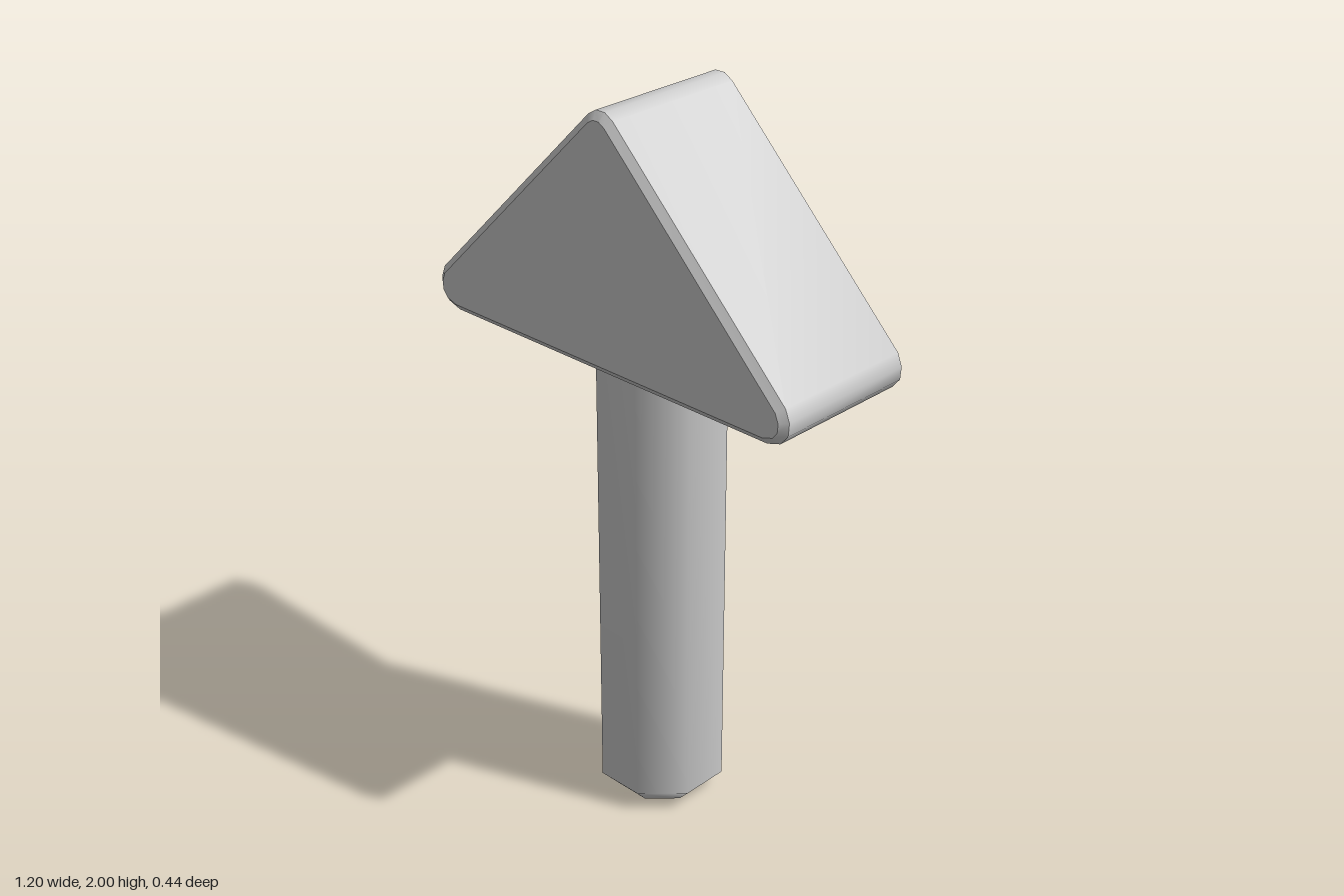
import * as THREE from 'three';
import { toCreasedNormals } from 'three/addons/utils/BufferGeometryUtils.js';

const material = new THREE.MeshStandardMaterial({ color: 0xcccccc });

function addMesh(group, name, geometry) {
  const mesh = new THREE.Mesh(geometry, material);
  mesh.name = name;
  group.add(mesh);
  return mesh;
}

export function createModel() {
  const model = new THREE.Group();
  model.name = 'arrowPost';

  // Triangular head: mirrored half outline with rounded corners, bevelled front and back
  const half = [
    [0.015, 2], [0.04, 1.985], [0.587, 1.438], [0.6, 1.405],
    [0.597, 1.37], [0.575, 1.343], [0.535, 1.33],
  ];
  const mirrored = half.map(([x, y]) => [-x, y]).reverse();
  const outline = [...half, ...mirrored].map(([x, y]) => new THREE.Vector2(x, y));
  const bevel = 0.016, depth = 0.44 - 2 * bevel;
  const head = new THREE.ExtrudeGeometry(new THREE.Shape(outline), {
    depth, bevelEnabled: true, bevelSegments: 1,
    bevelThickness: bevel, bevelSize: 0.02, bevelOffset: -0.02,
  });
  head.translate(0, 0, -depth / 2);
  addMesh(model, 'head', toCreasedNormals(head, 0.62));

  // Eight-sided, smooth-shaded shaft with a chamfered foot
  const sides = 8, turn = Math.PI / sides, round = 1 / Math.cos(turn);
  const footRadius = 0.115 * round;
  const profile = [[footRadius, 0], [0.165 * round, 0.055], [0.165 * round, 1.34]]
    .map(([r, y]) => new THREE.Vector2(r, y));
  addMesh(model, 'shaft', new THREE.LatheGeometry(profile, sides, turn));

  // Flat underside of the foot
  const foot = new THREE.CircleGeometry(footRadius, sides, turn);
  foot.rotateX(Math.PI / 2);
  addMesh(model, 'foot', foot);

  return model;
}
